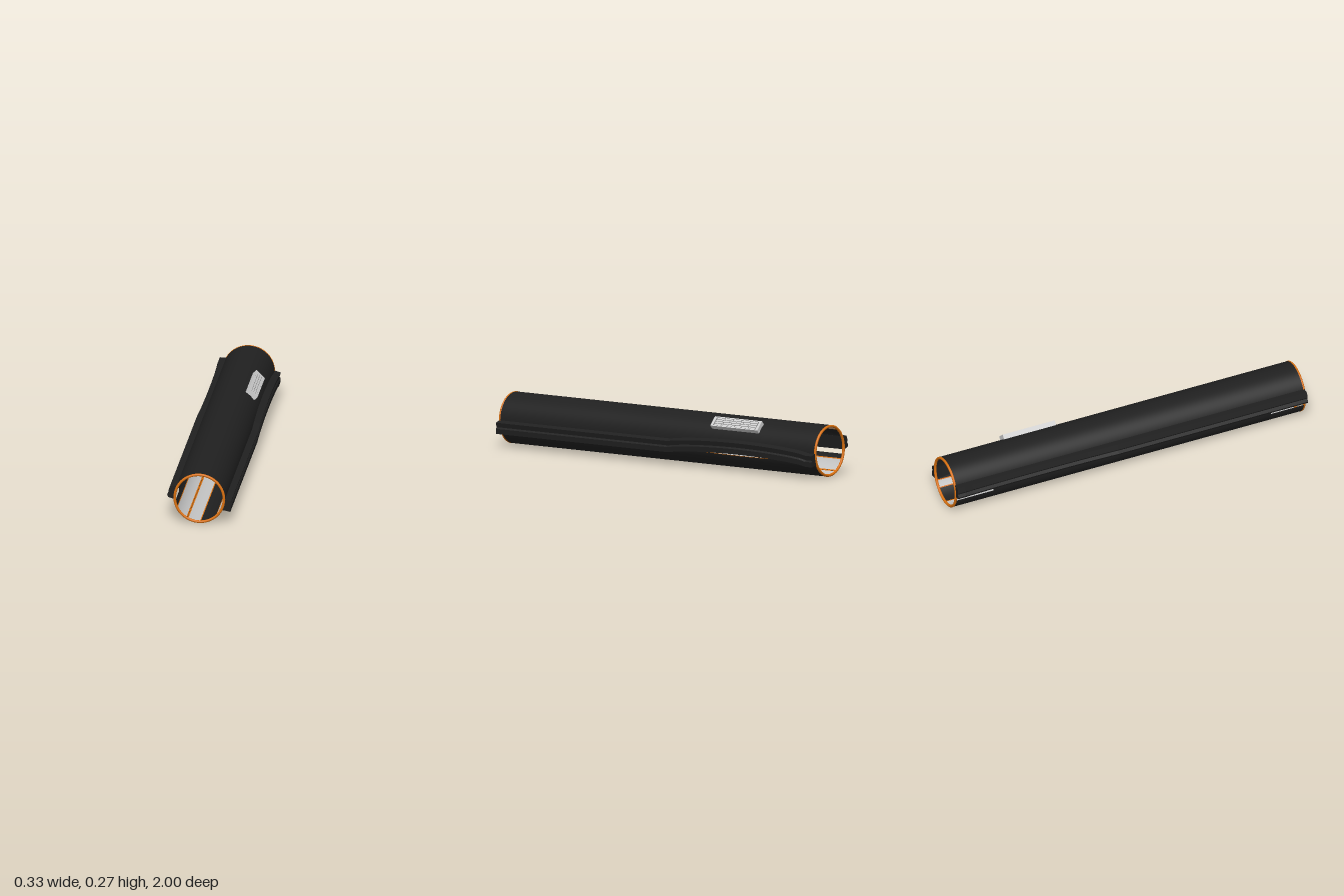
import * as THREE from 'three';

const mat = (name, color, side = THREE.FrontSide) => {
  const m = new THREE.MeshStandardMaterial({ color, side });
  m.name = name;
  return m;
};
const DEG = Math.PI / 180;
const CY = 0.137; // height of the tube axis
const R = 0.134;

// smooth bump between z = -0.95 and z = -0.1
const lens = (z) => {
  const t = (z + 0.95) / 0.85;
  return t <= 0 || t >= 1 ? 0 : Math.sin(Math.PI * t) ** 0.6;
};

// curved wall between two angles (degrees, may depend on z)
function wall(r, a0, a1, z0 = -0.995, z1 = 0.995) {
  const at = (a, z) => (typeof a === 'function' ? a(z) : a);
  const nz = Math.max(1, Math.ceil((z1 - z0) * 24));
  const na = Math.max(1, Math.ceil(Math.abs(at(a1, 1) - at(a0, 1)) / 5));
  const pos = [], nor = [], idx = [];
  for (let j = 0; j <= nz; j++) {
    const z = z0 + ((z1 - z0) * j) / nz;
    for (let i = 0; i <= na; i++) {
      const a = (at(a0, z) + ((at(a1, z) - at(a0, z)) * i) / na) * DEG;
      pos.push(r * Math.cos(a), r * Math.sin(a), z);
      nor.push(Math.cos(a), Math.sin(a), 0);
      if (i < na && j < nz) {
        const p = j * (na + 1) + i, q = p + na + 1;
        idx.push(p, p + 1, q, p + 1, q + 1, q);
      }
    }
  }
  const g = new THREE.BufferGeometry();
  g.setAttribute('position', new THREE.Float32BufferAttribute(pos, 3));
  g.setAttribute('normal', new THREE.Float32BufferAttribute(nor, 3));
  g.setIndex(idx);
  return g;
}

// long bar of constant section, bent by a rule
function bar(points, bend) {
  const shape = new THREE.Shape(points.map(([x, y]) => new THREE.Vector2(x, y)));
  const g = new THREE.ExtrudeGeometry(shape, { depth: 1.99, steps: 48, bevelEnabled: false });
  g.translate(0, 0, -0.995);
  const p = g.attributes.position;
  for (let i = 0; i < p.count; i++) {
    const [x, y] = bend(p.getX(i), p.getY(i), lens(p.getZ(i)));
    p.setXY(i, x, y);
  }
  g.computeVertexNormals();
  return g;
}

export function createModel() {
  const black = mat('black fabric', 0x202020, THREE.DoubleSide);
  const orange = mat('orange piping', 0xd9700f, THREE.DoubleSide);
  const lining = mat('light lining', 0xc4c4c4, THREE.DoubleSide);
  const silver = mat('silver metal', 0xcfcfcf);
  const dark = mat('dark recess', 0x6a6a6a);

  const model = new THREE.Group();
  const tube = new THREE.Group();
  tube.name = 'tube';
  tube.position.y = CY;
  model.add(tube);
  const add = (name, geo, m, parent = tube) => {
    const mesh = new THREE.Mesh(geo, m);
    mesh.name = name;
    parent.add(mesh);
    return mesh;
  };

  // outer shell: upper and lower halves, parted by a slit on the left side
  const slitLow = (z) => -17 - 6 * lens(z);
  add('upperShell', wall(R, -17, 183), black);
  add('lowerShell', wall(R, 194, (z) => 360 + slitLow(z)), black);
  add('rightSeam', wall(R, 183, 194, -0.78, 0.8), black);
  add('slitPiping', wall(R + 0.001, (z) => slitLow(z) - 1.2, slitLow, -0.7, -0.24), orange);

  // lining panels with piping along their edges
  for (const [a0, a1] of [[40, 128], [206, 239], [242, 272], [312, 330]]) {
    add('liningPanel', wall(R - 0.004, a0, a1), lining);
    for (const a of [a0, a1]) add('liningPiping', wall(R - 0.005, a - 1.2, a + 1.2), orange);
  }

  // rolled piping around both open ends
  for (const z of [-0.993, 0.993]) {
    add('endRing', new THREE.TorusGeometry(0.1285, 0.007, 12, 72), orange).position.z = z;
  }

  // side rails
  add('leftRail', bar(
    [[0.128, 0.003], [0.118, -0.058], [0.162, -0.067], [0.165, -0.04], [0.159, -0.032], [0.166, -0.008]],
    (x, y, k) => [x, y + 0.026 * k]), black);
  add('rightRail', bar(
    [[-0.118, 0.061], [-0.153, 0.061], [-0.162, 0.034], [-0.158, 0.026], [-0.168, 0.012], [-0.162, 0],
      [-0.132, -0.009]],
    (x, y, k) => [x + 0.007 * k, y]), black);

  // metal badge plate: framed, with staggered raised bars
  const plate = new THREE.Group();
  plate.name = 'plate';
  plate.position.z = -0.48;
  plate.rotation.z = -44 * DEG;
  tube.add(plate);
  const box = (name, w, h, d, x, y, z, m) => add(name, new THREE.BoxGeometry(w, h, d), m, plate).position.set(x, y, z);
  box('plateBase', 0.062, 0.026, 0.29, 0, 0.137, 0, silver);
  box('plateRecess', 0.052, 0.002, 0.272, 0, 0.151, 0, dark);
  for (const s of [-1, 1]) {
    box('plateSide', 0.006, 0.008, 0.29, s * 0.028, 0.152, 0, silver);
    box('plateEnd', 0.062, 0.03, 0.014, 0, 0.141, s * 0.141, silver);
  }
  const rows = 4, pitch = 0.0125;
  for (let r = 0; r < rows; r++) {
    const x = (r - (rows - 1) / 2) * pitch;
    const n = 5 + (r % 2);
    const len = 0.26 / n;
    for (let i = 0; i < n; i++) {
      box('plateBar', pitch - 0.003, 0.004, len - 0.005, x, 0.153, -0.13 + (i + 0.5) * len, silver);
    }
  }
  return model;
}
